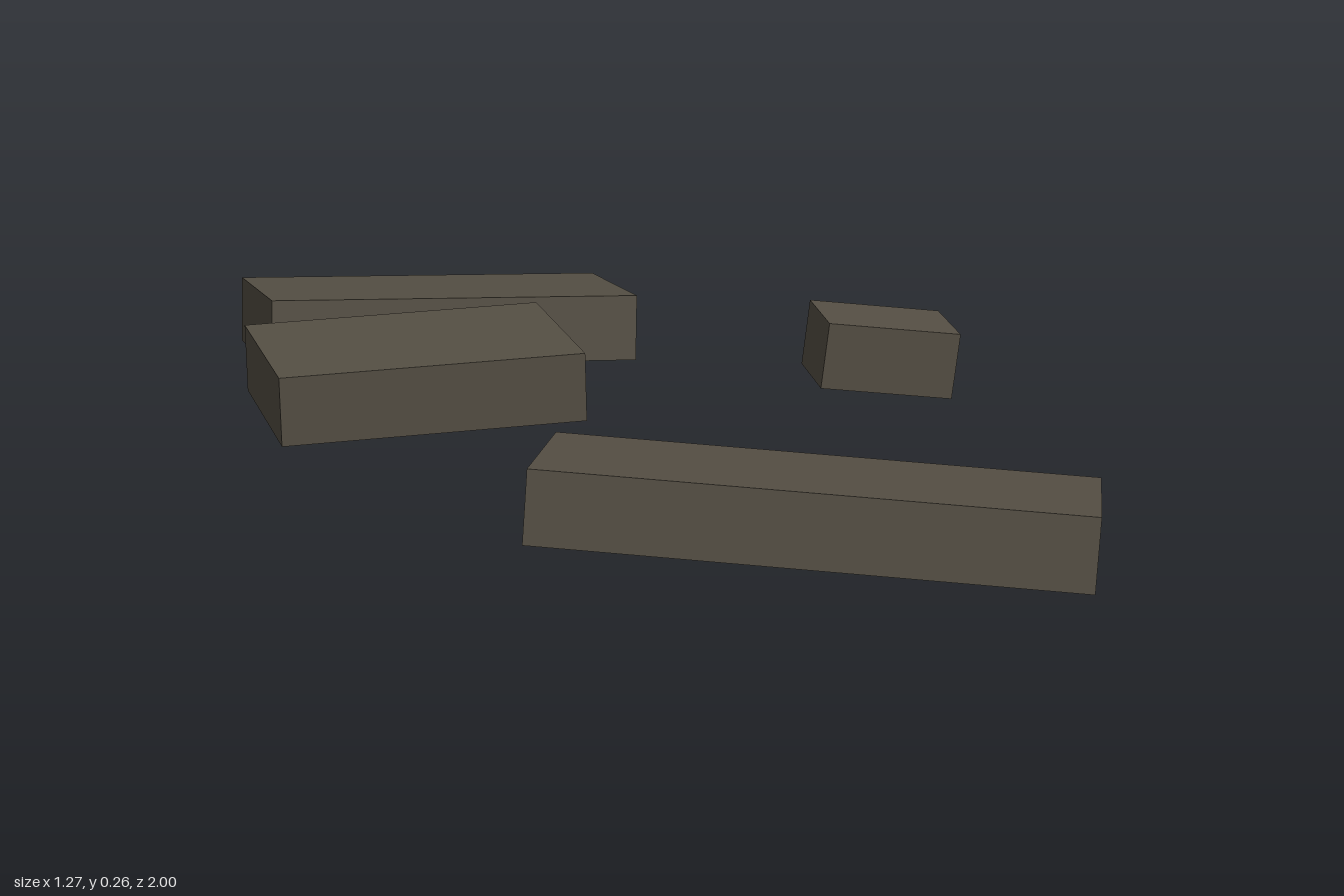
import * as THREE from 'three';

const stone = new THREE.MeshStandardMaterial({ color: 0x544e43 });
stone.name = 'dark stone';

// A tilted slab: centre of its top face, its long edge, its front-to-back edge and its thickness.
function slab(name, top, along, across, thickness) {
  const u = new THREE.Vector3(...along);
  const v = new THREE.Vector3(...across);
  const mesh = new THREE.Mesh(new THREE.BoxGeometry(u.length(), thickness, v.length()), stone);
  const x = u.clone().normalize();
  const y = new THREE.Vector3().crossVectors(v, x).normalize();
  const z = new THREE.Vector3().crossVectors(x, y);
  mesh.quaternion.setFromRotationMatrix(new THREE.Matrix4().makeBasis(x, y, z));
  mesh.position.set(...top).addScaledVector(y, -thickness / 2);
  mesh.name = name;
  return mesh;
}

export function createModel() {
  const group = new THREE.Group();
  group.name = 'steppingSlabs';
  group.add(
    slab('frontSlab', [0.138, 0.154, 0.698], [0.833, -0.056, 0.272], [-0.112, 0.007, 0.327], 0.12),
    slab('middleSlab', [-0.368, 0.239, -0.206], [0.53, 0.022, -0.017], [0.012, -0.03, 0.393], 0.12),
    slab('backSlab', [-0.228, 0.239, -0.81], [0.69, -0.016, -0.03], [0.015, 0.008, 0.358], 0.122),
    slab('smallSlab', [0.507, 0.238, -0.282], [0.24, -0.026, 0.01], [-0.012, -0.015, 0.18], 0.12),
  );
  return group;
}
